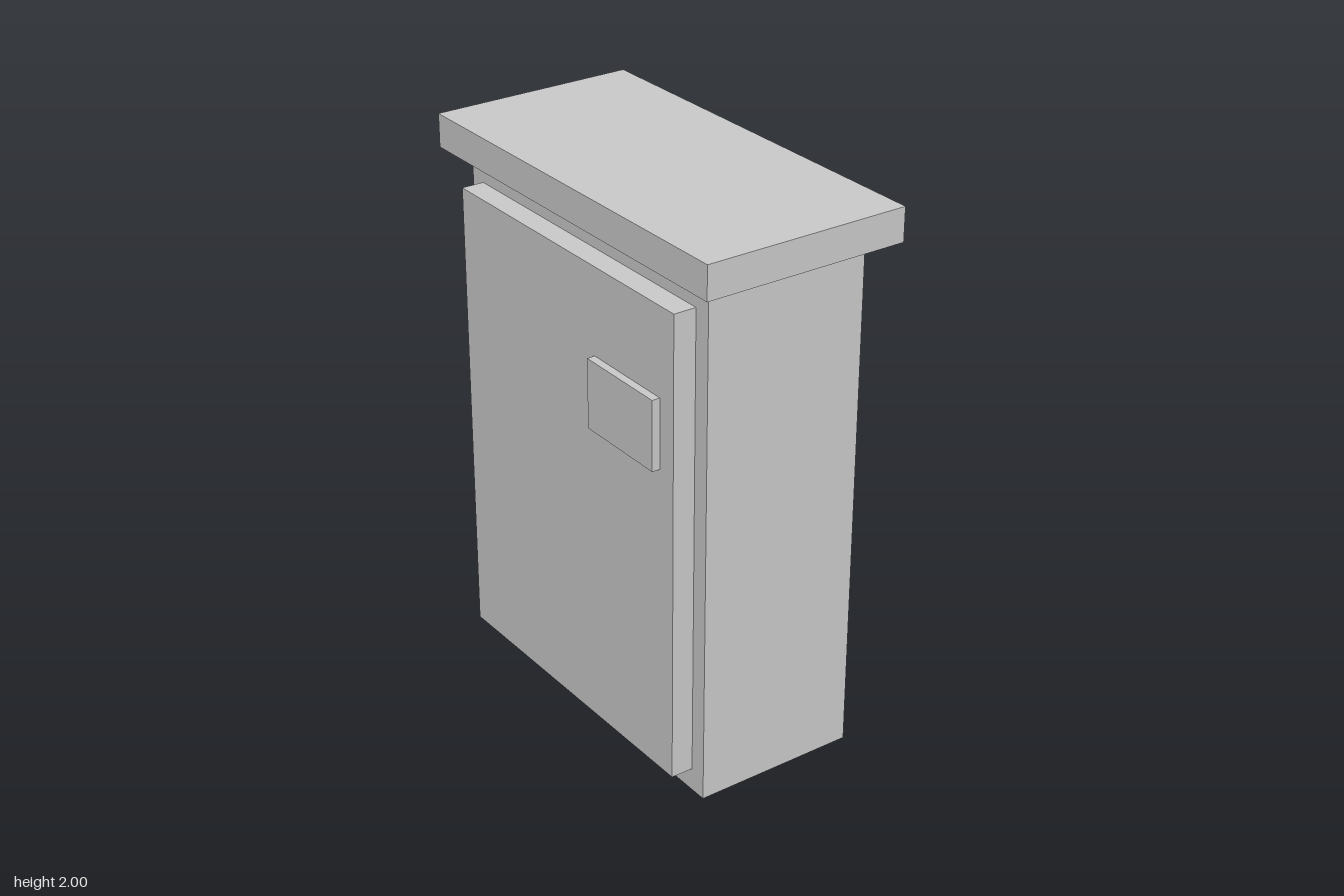
import * as THREE from 'three';

export function createModel() {
  const group = new THREE.Group();
  const material = new THREE.MeshStandardMaterial({ color: 0xcccccc, flatShading: true });

  // Adds a named box spanning the given [min, max] ranges
  const addBox = (name, [x0, x1], [y0, y1], [z0, z1]) => {
    const mesh = new THREE.Mesh(new THREE.BoxGeometry(x1 - x0, y1 - y0, z1 - z0), material);
    mesh.position.set((x0 + x1) / 2, (y0 + y1) / 2, (z0 + z1) / 2);
    mesh.name = name;
    group.add(mesh);
  };

  // Cabinet body and overhanging roof slab
  addBox('cabinetBody', [-0.67, 0.67], [0, 1.88], [-0.318, 0.285]);
  addBox('roof', [-0.76, 0.76], [1.88, 2], [-0.396, 0.358]);

  // Raised front door with its small plate
  addBox('door', [-0.607, 0.607], [0.085, 1.785], [0.285, 0.367]);
  addBox('doorPlate', [0.178, 0.535], [1.222, 1.473], [0.367, 0.396]);

  return group;
}
